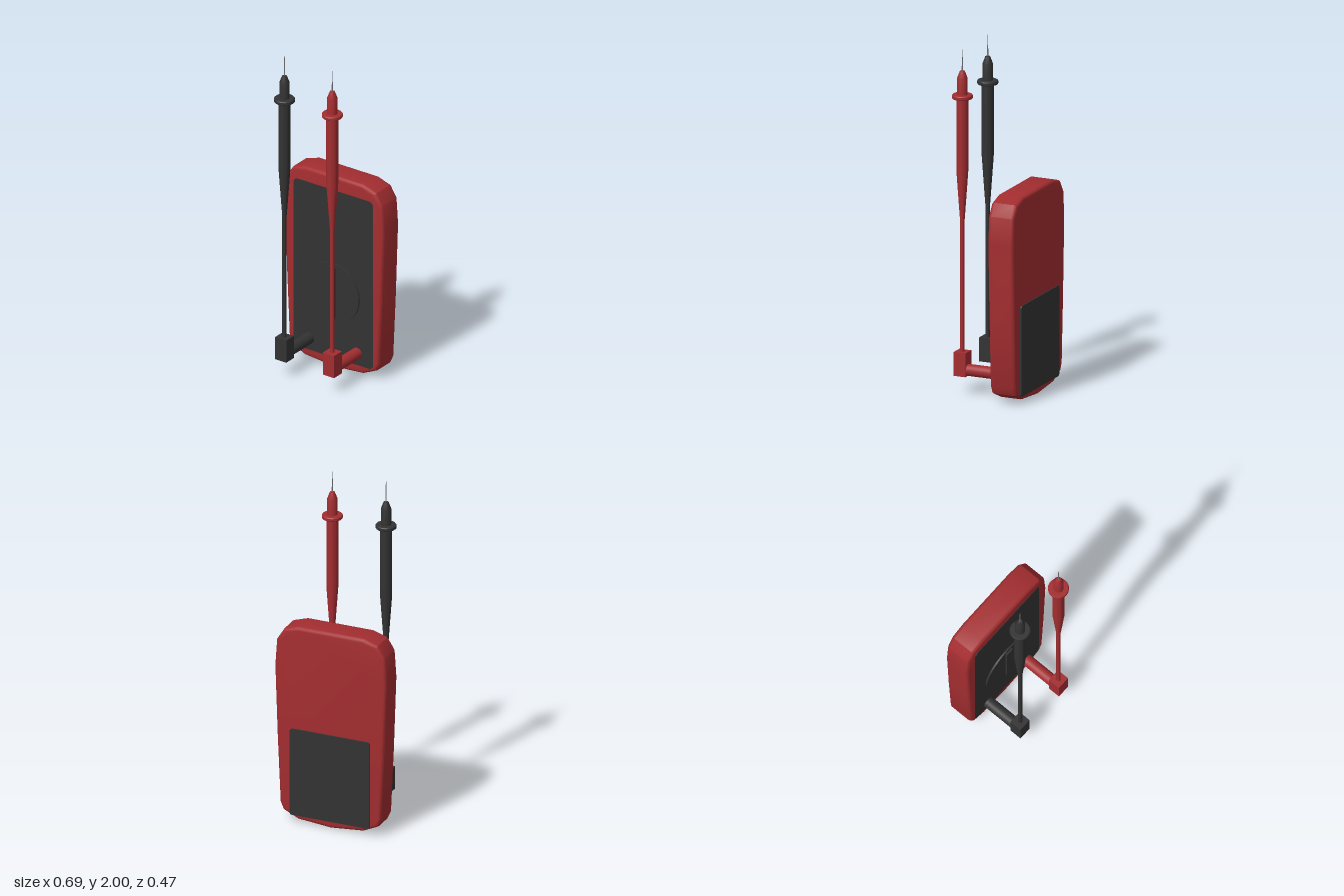
import * as THREE from 'three';
import { toCreasedNormals } from 'three/addons/utils/BufferGeometryUtils.js';

const red = new THREE.MeshStandardMaterial({ name: 'red', color: 0xa32d30 });
const black = new THREE.MeshStandardMaterial({ name: 'charcoal', color: 0x333333 });
const steel = new THREE.MeshStandardMaterial({ name: 'steel', color: 0x777777 });

function add(parent, name, geometry, material, x = 0, y = 0, z = 0) {
  const mesh = new THREE.Mesh(geometry, material);
  mesh.name = name;
  mesh.position.set(x, y, z);
  parent.add(mesh);
  return mesh;
}

// Rounded rectangle centred on x, from y0 to y1
function roundedRect(halfWidth, y0, y1, r) {
  const s = new THREE.Shape();
  s.absarc(halfWidth - r, y0 + r, r, -Math.PI / 2, 0);
  s.absarc(halfWidth - r, y1 - r, r, 0, Math.PI / 2);
  s.absarc(-halfWidth + r, y1 - r, r, Math.PI / 2, Math.PI);
  s.absarc(-halfWidth + r, y0 + r, r, Math.PI, Math.PI * 1.5);
  return s;
}

function plate(shape, depth) {
  return new THREE.ExtrudeGeometry(shape, { depth, bevelEnabled: false, curveSegments: 5 });
}

// Case: mirrored outline with a rounded rim
function caseGeometry() {
  const half = [
    [0.2, 0.018], [0.29, 0.06], [0.31, 0.105], [0.328, 0.5],
    [0.343, 0.94], [0.332, 1.1], [0.288, 1.17], [0.2, 1.198],
  ];
  const outline = [[0, 0], ...half, ...half.map(([x, y]) => [-x, y]).reverse()];
  const shape = new THREE.Shape(outline.map(([x, y]) => new THREE.Vector2(x, y)));
  const bevel = 0.02;
  const geo = new THREE.ExtrudeGeometry(shape, {
    depth: 0.158 - 2 * bevel, bevelEnabled: true, bevelThickness: bevel,
    bevelSize: bevel, bevelOffset: -bevel, bevelSegments: 4,
  });
  return toCreasedNormals(geo.translate(0, 0, bevel - 0.225), 0.5);
}

// Test lead: plug, elbow block, wire and handle, standing in front of the case
function testLead(name, material, x) {
  const lead = new THREE.Group();
  lead.name = name;
  lead.position.set(x, 0, 0.172);
  const plug = new THREE.CylinderGeometry(0.034, 0.034, 0.235, 24).rotateX(Math.PI / 2);
  add(lead, 'plug', plug, material, 0, 0.139, -0.1225);
  add(lead, 'elbowBlock', new THREE.BoxGeometry(0.078, 0.138, 0.074), material, 0, 0.174, 0);
  const profile = [
    [0, 0.24], [0.0125, 0.24], [0.0125, 1.0], [0.017, 1.06], [0.034, 1.3], [0.034, 1.715],
    [0.055, 1.715], [0.059, 1.719], [0.059, 1.733], [0.055, 1.738], [0.029, 1.738],
    [0.029, 1.835], [0.014, 1.875], [0, 1.877],
  ].map(([r, y]) => new THREE.Vector2(r, y));
  add(lead, 'wireAndHandle', toCreasedNormals(new THREE.LatheGeometry(profile, 28), 0.5), material);
  add(lead, 'needle', new THREE.CylinderGeometry(0.0015, 0.004, 0.13, 10), steel, 0, 1.935, 0);
  return lead;
}

export function createModel() {
  const model = new THREE.Group();
  model.name = 'multimeter';

  add(model, 'case', caseGeometry(), red);
  add(model, 'frontPanel', plate(roundedRect(0.275, 0.065, 1.112, 0.03), 0.006), black, 0, 0, -0.071);
  add(model, 'batteryCover', plate(roundedRect(0.245, 0.045, 0.573, 0.015), 0.014), black, 0, 0, -0.234);

  // Selector dial and its grip
  const dial = new THREE.CylinderGeometry(0.184, 0.184, 0.015, 48).rotateX(Math.PI / 2);
  add(model, 'dial', dial, black, 0, 0.475, -0.0625);
  add(model, 'dialGrip', new THREE.BoxGeometry(0.05, 0.32, 0.015), black, 0, 0.477, -0.0525);

  model.add(testLead('redLead', red, 0.165), testLead('blackLead', black, -0.165));
  return model;
}
